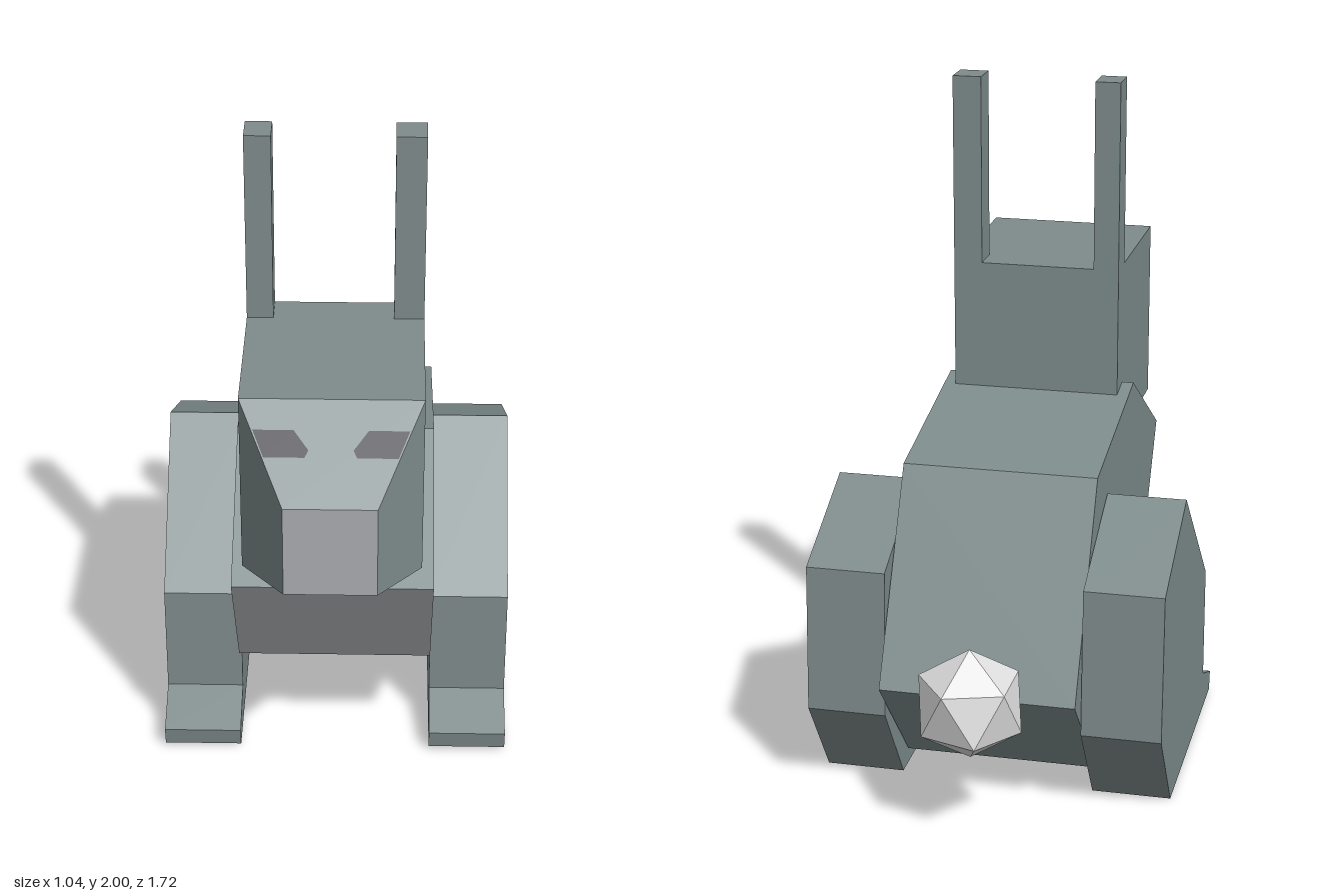
import * as THREE from 'three';
import { ConvexGeometry } from 'three/addons/geometries/ConvexGeometry.js';

const material = (name, color) => Object.assign(new THREE.MeshStandardMaterial({ color }), { name });

// Flat-sided geometry from convex polygons, corners anticlockwise from outside
function polygons(faces) {
  const pos = [];
  for (const f of faces)
    for (let i = 1; i < f.length - 1; i++) pos.push(...f[0], ...f[i], ...f[i + 1]);
  const geo = new THREE.BufferGeometry();
  geo.setAttribute('position', new THREE.Float32BufferAttribute(pos, 3));
  geo.computeVertexNormals();
  return geo;
}

export function createModel() {
  const fur = material('slate fur', 0x7f8c8c);
  const pale = material('pale grey', 0xacadb1);
  const white = material('tail white', 0xe0e0e0);
  const dark = material('eye dark', 0x0f0f24);

  const model = new THREE.Group();
  const add = (name, geo, mat) => {
    const mesh = new THREE.Mesh(geo, mat);
    mesh.name = name;
    model.add(mesh);
    return mesh;
  };

  // Body: side profile (z, y) swept across x, with a pale chest and belly
  const w = 0.285;
  const profile = [[0.63, 0.805], [0.2, 1.07], [-0.35, 0.96], [-0.65, 0.38], [-0.35, 0.05], [0.37, 0.38]];
  const at = ([z, y], x) => [x, y, z];
  const sides = profile.map((a, i) => {
    const b = profile[(i + 1) % profile.length];
    return [at(b, -w), at(a, -w), at(a, w), at(b, w)];
  });
  const caps = [profile.map(p => at(p, -w)), profile.map(p => at(p, w)).reverse()];
  add('body', polygons([...caps, ...sides.slice(0, 4)]), fur);
  add('belly', polygons([sides[4]]), pale);
  add('chest', polygons([sides[5]]), pale);

  // Head: rectangular cross-sections from back to muzzle
  const ring = (hw, lo, hi, z) => [[-hw, lo, z], [hw, lo, z], [hw, hi, z], [-hw, hi, z]];
  const rings = [ring(0.25, 0.9, 1.44, 0.12), ring(0.25, 0.9, 1.44, 0.66), ring(0.127, 0.945, 1.22, 0.86)];
  const headFaces = [[...rings[0]].reverse()];
  for (let r = 0; r < 2; r++)
    for (let i = 0; i < 4; i++) {
      const j = (i + 1) % 4;
      headFaces.push([rings[r + 1][j], rings[r + 1][i], rings[r][i], rings[r][j]]);
    }
  add('head', polygons(headFaces), fur);
  add('muzzle', polygons([rings[2]]), pale);

  // Eyes: thin faces just above the sloping brow
  const eye = [[0.21, 1.377], [0.1, 1.377], [0.06, 1.337], [0.07, 1.322], [0.18, 1.322]];
  for (const s of [1, -1]) {
    const corners = eye.map(([x, y]) => [s * x, y + 0.002, 0.66 + (1.44 - y) / 0.22 * 0.2 + 0.002]);
    add(s > 0 ? 'leftEye' : 'rightEye', polygons([s > 0 ? corners : corners.reverse()]), dark);
  }

  // Ears: upright square posts flush with the back of the head
  for (const [name, x0, x1] of [['leftEar', 0.165, 0.25], ['rightEar', -0.25, -0.175]]) {
    const ear = add(name, new THREE.BoxGeometry(x1 - x0, 0.57, 0.095), fur);
    ear.position.set((x0 + x1) / 2, 1.715, 0.1675);
  }

  // Legs: haunch and foot in one extruded profile (z, y)
  const leg = new THREE.Shape([
    [0.35, 0.07], [0.2, 0.13], [0.2, 0.475], [-0.215, 0.865],
    [-0.56, 0.7], [-0.58, 0.265], [-0.4, 0], [0.34, 0.012],
  ].map(p => new THREE.Vector2(...p)));
  const legGeo = new THREE.ExtrudeGeometry(leg, { depth: 0.232, bevelEnabled: false }).rotateY(-Math.PI / 2);
  add('leftLeg', legGeo, fur).position.x = 0.52;
  add('rightLeg', legGeo, fur).position.x = -0.288;

  // Tail: twenty-sided ball with a vertex at top and bottom
  const R = 0.165;
  const points = [new THREE.Vector3(0, R, 0), new THREE.Vector3(0, -R, 0)];
  for (let i = 0; i < 10; i++) {
    const a = i * Math.PI / 5, r = R * 2 / Math.sqrt(5), y = (i % 2 ? -1 : 1) * R / Math.sqrt(5);
    points.push(new THREE.Vector3(r * Math.cos(a), y, r * Math.sin(a)));
  }
  add('tail', new ConvexGeometry(points), white).position.set(0, 0.4, -0.72);

  return model;
}
